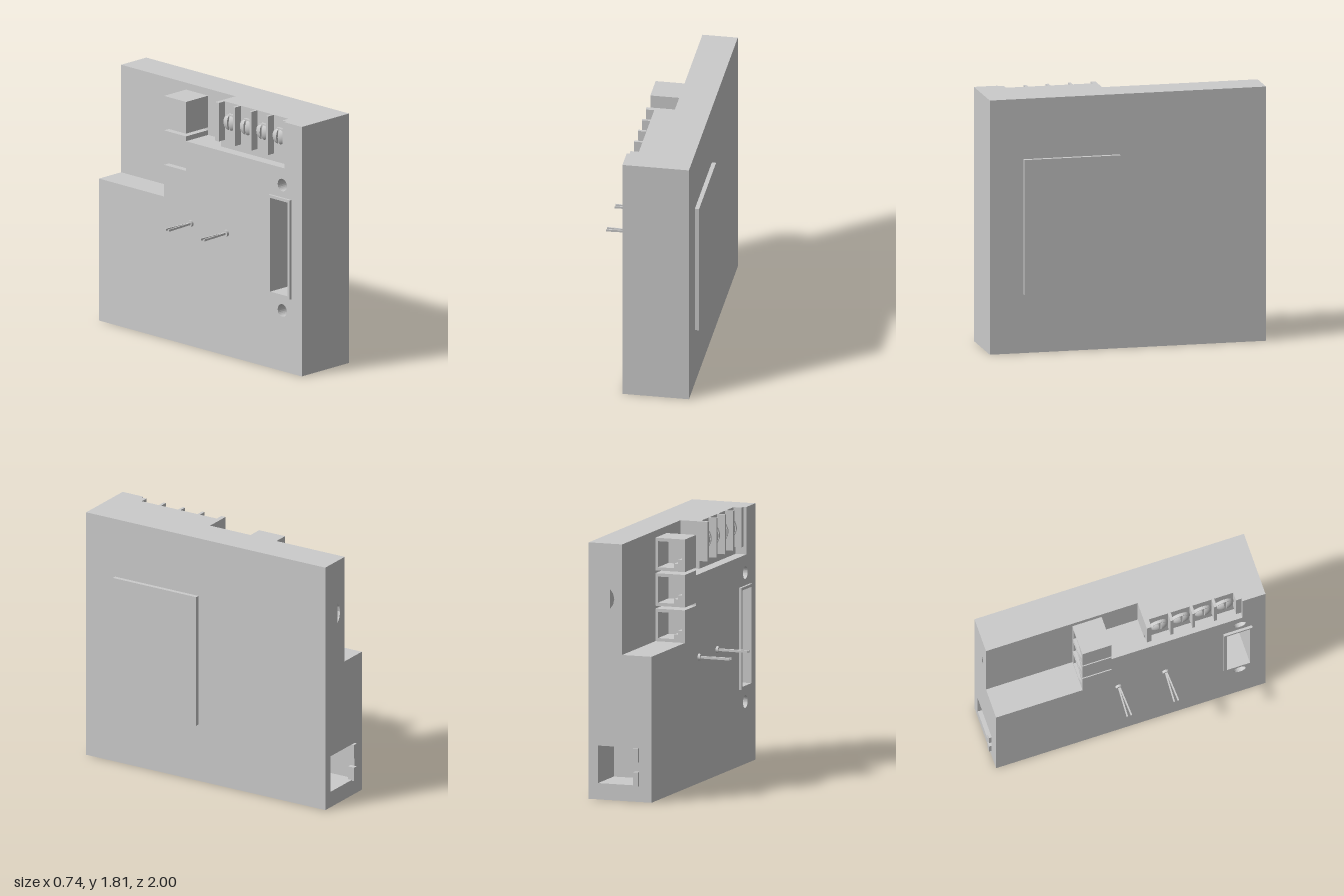
import * as THREE from 'three';

const grey = new THREE.MeshStandardMaterial({ color: 0xcccccc, flatShading: true });
const smooth = new THREE.MeshStandardMaterial({ color: 0xcccccc, side: THREE.DoubleSide });

const poly = (pts, Type = THREE.Shape) => new Type(pts.map(p => new THREE.Vector2(...p)));
const rect = (a, b, c, d, Type) => poly([[a, c], [b, c], [b, d], [a, d]], Type);

export function createModel() {
  const model = new THREE.Group();
  const add = (name, geo, parent = model, mat = grey) => {
    const m = new THREE.Mesh(geo, mat);
    m.name = name;
    parent.add(m);
    return m;
  };
  // Box given by its limits
  const box = (name, x0, x1, y0, y1, z0, z1, parent) => {
    const g = new THREE.BoxGeometry(x1 - x0, y1 - y0, z1 - z0);
    g.translate((x0 + x1) / 2, (y0 + y1) / 2, (z0 + z1) / 2);
    return add(name, g, parent);
  };
  // (x, y) outline pushed from z0 to z1
  const alongZ = (shape, z0, z1) =>
    new THREE.ExtrudeGeometry(shape, { depth: z1 - z0, bevelEnabled: false, curveSegments: 12 }).translate(0, 0, z0);
  // (z, y) outline pushed from x0 to x1
  const alongX = (shape, x0, x1) =>
    new THREE.ExtrudeGeometry(shape, { depth: x1 - x0, bevelEnabled: false, curveSegments: 12 })
      .rotateY(-Math.PI / 2).translate(x1, 0, 0);

  // Rear of the housing, with a socket opening and a small half-round slot
  const rear = poly([[-0.13, 0], [0.34, 0], [0.34, 1.81], [0.09, 1.81], [0.09, 1.03], [-0.13, 1.03]]);
  rear.holes.push(rect(-0.035, 0.27, 0.115, 0.38, THREE.Path));
  rear.holes.push(poly([[0.18, 1.35], [0.158, 1.38], [0.148, 1.42], [0.158, 1.46], [0.18, 1.49]], THREE.Path));
  add('housingRear', alongZ(rear, -0.98, -0.68));

  // Main housing core
  box('housingCore', 0.09, 0.34, 0, 1.81, -0.68, 1);

  // Right side of the housing, cut away for sockets and terminals
  const side = poly([[-0.68, 0], [1, 0], [1, 1.81], [0.83, 1.81], [0.83, 1.475],
    [-0.13, 1.475], [-0.13, 1.03], [-0.68, 1.03]]);
  side.holes.push(rect(0.71, 0.88, 0.56, 1.24, THREE.Path));
  for (const y of [0.44, 1.35]) {
    const hole = new THREE.Path();
    hole.absarc(0.81, y, 0.045, 0, Math.PI * 2);
    side.holes.push(hole);
  }
  add('housingSide', alongX(side, -0.13, 0.09));

  // Raised plate on the left side
  box('sidePlate', 0.34, 0.37, 0.42, 1.38, 0.07, 0.76);

  // Raised rim round the long slot
  const rim = rect(0.69, 0.9, 0.54, 1.26);
  rim.holes.push(rect(0.71, 0.88, 0.56, 1.24, THREE.Path));
  add('slotRim', alongX(rim, -0.148, -0.13));

  // Tabs on the rear socket
  for (const y of [0.11, 0.28]) box('socketTab', -0.035, 0, y, y + 0.1, -1, -0.95);

  // Stack of three keyed sockets
  for (let i = 0; i < 3; i++) {
    const y = 1.03 + i * 0.25, h = 0.23, mid = y + h / 2;
    const face = rect(-0.13, 0.09, y, y + h);
    const half = [[0.07, 0.092], [-0.05, 0.092], [-0.05, 0.06], [-0.08, 0.06], [-0.08, 0.032], [-0.108, 0.032]];
    face.holes.push(poly([
      ...half.map(([x, d]) => [x, mid + d]),
      ...half.slice().reverse().map(([x, d]) => [x, mid - d]),
    ], THREE.Path));
    const socket = new THREE.Group();
    socket.name = 'stackedSocket';
    model.add(socket);
    add('socketShell', alongZ(face, -0.345, -0.15), socket);
    box('socketBack', -0.13, 0.09, y, y + h, -0.15, -0.13, socket);
  }

  // Terminal strip: backing block and dividers
  box('terminalBacking', -0.05, 0.09, 1.475, 1.81, 0.135, 0.83);
  for (const [z0, z1] of [[0.135, 0.17], [0.31, 0.33], [0.47, 0.49], [0.63, 0.65], [0.79, 0.83]])
    box('terminalDivider', -0.11, -0.05, 1.53, 1.81, z0, z1);

  // Slotted dome screws, each made of two half domes on a thin disc
  const R = 0.062, H = 0.042, arc = [];
  for (let i = 0; i <= 8; i++) {
    const t = (i / 8) * Math.PI / 2;
    arc.push(new THREE.Vector2(R * Math.cos(t), H * Math.sin(t)));
  }
  const cut = new THREE.Shape([...arc, ...arc.slice(0, -1).reverse().map(p => new THREE.Vector2(-p.x, p.y))]);
  for (let i = 0; i < 4; i++) {
    const screw = new THREE.Group();
    screw.name = 'terminalScrew';
    for (const s of [1, -1]) {
      const start = s > 0 ? -Math.PI / 2 : Math.PI / 2;
      add('halfDome', new THREE.LatheGeometry(arc, 14, start, Math.PI).translate(0, 0, s * 0.008), screw, smooth);
      add('slotWall', new THREE.ShapeGeometry(cut).translate(0, 0, s * 0.008), screw, smooth);
    }
    add('screwBase', new THREE.CylinderGeometry(R, R, 0.022, 24).translate(0, 0.011, 0), screw);
    screw.rotation.z = Math.PI / 2;
    screw.position.set(-0.05, 1.67, 0.24 + i * 0.16);
    model.add(screw);
  }

  // Split pins on the right side
  for (const z of [-0.08, 0.265]) {
    const pin = new THREE.Group();
    pin.name = 'splitPin';
    pin.position.set(-0.13, 0.89, z);
    model.add(pin);
    add('pinCollar', new THREE.CylinderGeometry(0.024, 0.024, 0.018, 20).rotateZ(Math.PI / 2).translate(-0.009, 0, 0), pin);
    for (const s of [1, -1]) {
      const prong = add('pinProng', new THREE.BoxGeometry(0.23, 0.015, 0.01).translate(-0.115, 0, 0), pin);
      prong.position.set(-0.01, 0, s * 0.004);
      prong.rotation.y = s * 0.05;
    }
  }
  return model;
}
